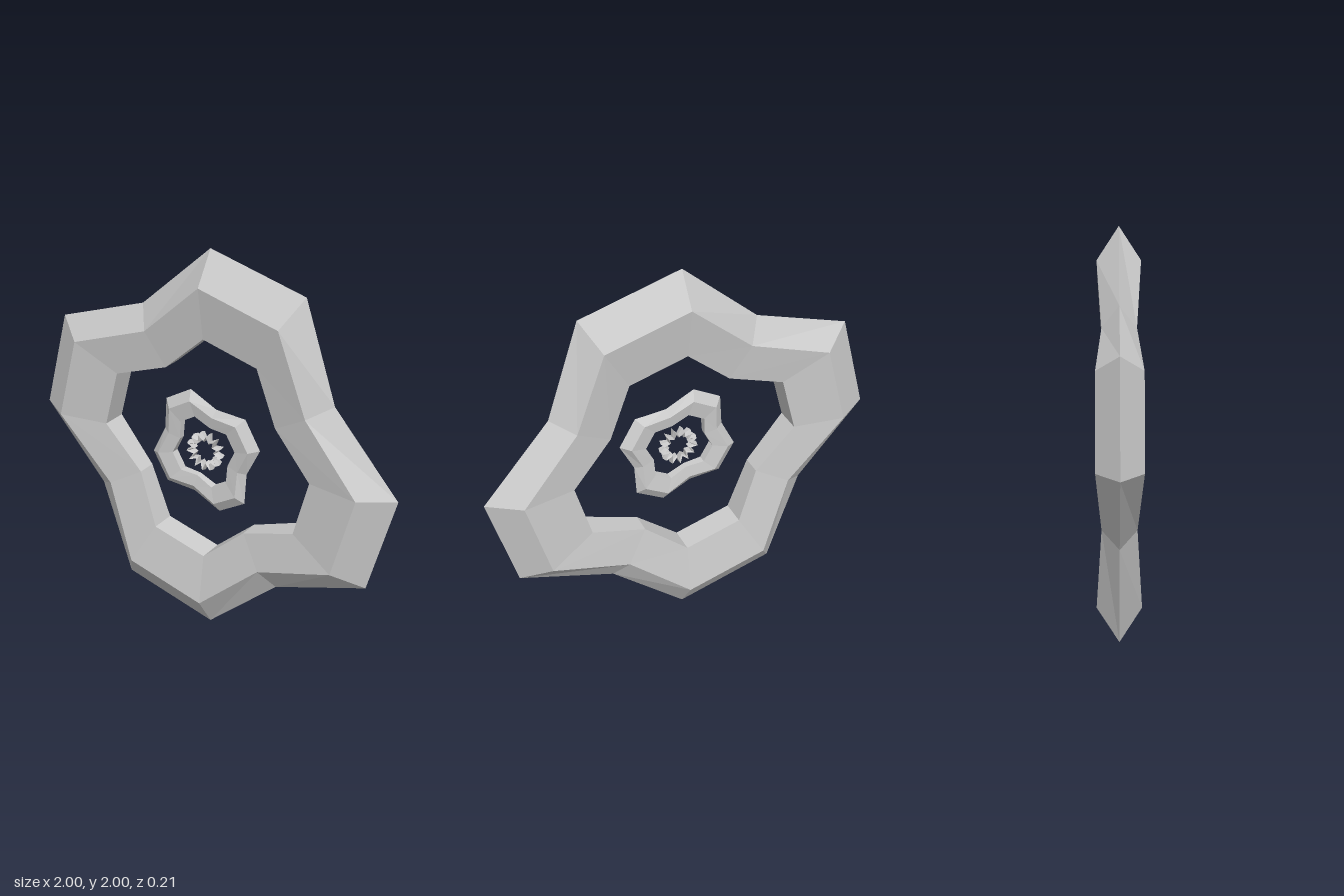
import * as THREE from 'three';

const material = new THREE.MeshStandardMaterial({ color: 0xcccccc, flatShading: true });

// Five-sided ring whose cross-sections grow and shrink around the circle.
// outer: largest radius, tube: section radius, depth: half thickness at the ridge
function wavyRing(name, { outer, tube, depth, segments, factor, turn, z }) {
  const geometry = new THREE.TorusGeometry(outer - tube, tube, 5, segments);
  const zScale = depth / (tube * Math.sin(Math.PI * 0.4));
  const p = geometry.attributes.position;
  for (let i = 0; i < p.count; i++) {
    const step = Math.round((Math.atan2(p.getY(i), p.getX(i)) / (2 * Math.PI)) * segments);
    const f = factor((step + segments) % segments);
    p.setXYZ(i, p.getX(i) * f, p.getY(i) * f, p.getZ(i) * f * zScale);
  }
  geometry.computeVertexNormals();
  const mesh = new THREE.Mesh(geometry, material);
  mesh.name = name;
  mesh.rotation.z = turn;
  mesh.position.set(0, 1, z);
  return mesh;
}

export function createModel() {
  const group = new THREE.Group();
  group.name = 'nestedRings';

  // Every third section is pulled inward, giving four lobes
  const lobes = (i) => (i % 3 === 1 ? 0.765 : 1);
  const large = { outer: 1, tube: 0.2315, depth: 0.105, segments: 12, factor: lobes, turn: 0, z: 0 };
  group.add(wavyRing('outerRing', large));

  // Same shape, smaller and turned by an eighth, set slightly forward
  const s = 0.316;
  group.add(wavyRing('middleRing', {
    ...large, outer: s, tube: large.tube * s, depth: large.depth * s, turn: Math.PI / 4, z: 0.045,
  }));

  // Small spiked ring in the centre
  group.add(wavyRing('spikedRing', {
    outer: 0.1, tube: 0.012, depth: 0.03, segments: 26,
    factor: (i) => (i % 2 ? 0.66 : 1), turn: -Math.PI / 2, z: 0.045,
  }));
  return group;
}
